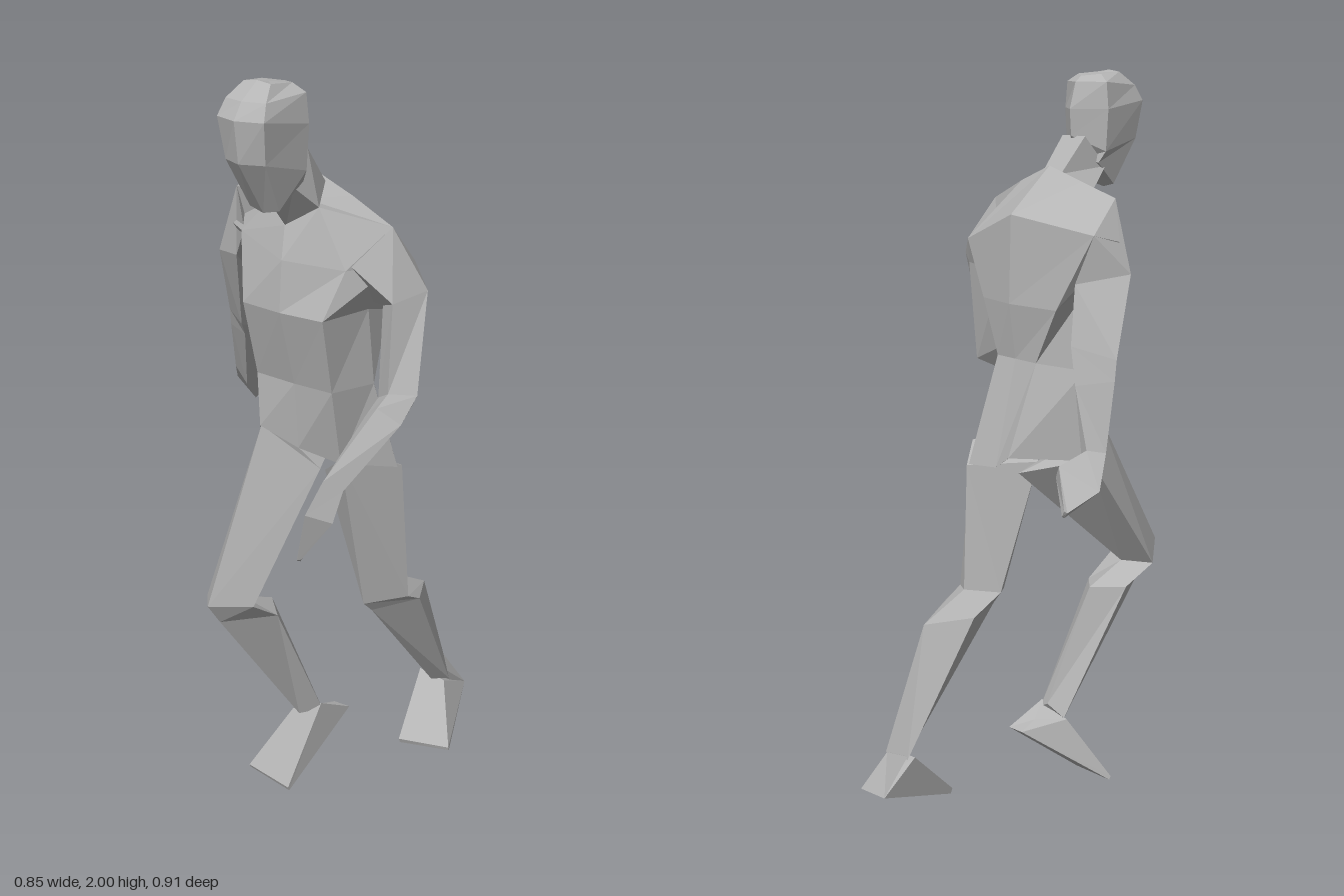
import * as THREE from 'three';

const skin = new THREE.MeshStandardMaterial({ color: 0xb4b4b4, flatShading: true });
skin.name = 'plain grey';

// Closed faceted body through a list of cross-sections with equal point counts.
function loft(name, rings) {
  const tris = [];
  const n = rings[0].length;
  const centre = (ring) => [0, 1, 2].map((k) => ring.reduce((s, p) => s + p[k], 0) / n);
  for (let r = 0; r < rings.length - 1; r++) {
    for (let i = 0; i < n; i++) {
      const j = (i + 1) % n;
      const a = rings[r][i], b = rings[r][j], c = rings[r + 1][j], d = rings[r + 1][i];
      tris.push([a, b, c], [a, c, d]);
    }
  }
  const first = rings[0], last = rings[rings.length - 1];
  for (let i = 0; i < n; i++) {
    const j = (i + 1) % n;
    tris.push([first[j], first[i], centre(first)], [last[i], last[j], centre(last)]);
  }
  // Turn the faces outward whichever way the sections run
  let volume = 0;
  const o = new THREE.Vector3(...centre(first));
  const corner = (p) => new THREE.Vector3(...p).sub(o);
  for (const [a, b, c] of tris) volume += corner(a).dot(corner(b).cross(corner(c)));
  const out = volume < 0 ? tris.map(([a, b, c]) => [a, c, b]) : tris;
  const geo = new THREE.BufferGeometry();
  geo.setAttribute('position', new THREE.Float32BufferAttribute(out.flat(2), 3));
  geo.computeVertexNormals();
  const mesh = new THREE.Mesh(geo, skin);
  mesh.name = name;
  return mesh;
}

// Symmetric head section: front [y,z], front side [w,y,z], back side [w,y,z], back [y,z]
function headRing(f, fs, bs, b) {
  const x = 0.085;
  return [
    [x, ...f], [x + fs[0], fs[1], fs[2]], [x + bs[0], bs[1], bs[2]],
    [x, ...b], [x - bs[0], bs[1], bs[2]], [x - fs[0], fs[1], fs[2]],
  ];
}

export function createModel() {
  const figure = new THREE.Group();
  figure.name = 'walkingFigure';

  // Torso: hips, waist, lower chest, upper chest, shoulder tops
  figure.add(loft('torso', [
    [[-0.025, 1.09, 0.21], [0.085, 1.05, 0.19], [0.19, 1.02, 0.15], [0.275, 0.99, 0.02],
      [0.19, 0.95, -0.08], [0.085, 0.96, -0.07], [0.02, 1.0, -0.08], [-0.11, 0.99, 0.09]],
    [[-0.04, 1.23, 0.2], [0.085, 1.23, 0.205], [0.2, 1.23, 0.2], [0.24, 1.23, 0.08],
      [0.16, 1.25, 0], [0.085, 1.25, 0], [0, 1.25, 0], [-0.106, 1.235, 0.08]],
    [[-0.04, 1.43, 0.25], [0.085, 1.43, 0.26], [0.21, 1.43, 0.25], [0.235, 1.43, 0.1],
      [0.22, 1.4, 0], [0.086, 1.4, -0.02], [-0.08, 1.4, 0], [-0.12, 1.48, 0.1]],
    [[-0.085, 1.595, 0.2], [0.085, 1.56, 0.25], [0.24, 1.55, 0.2], [0.32, 1.56, 0.11],
      [0.313, 1.55, 0.02], [0.086, 1.635, -0.013], [-0.19, 1.6, 0.03], [-0.2, 1.58, 0.11]],
    [[0, 1.68, 0.19], [0.075, 1.64, 0.225], [0.156, 1.69, 0.195], [0.32, 1.655, 0.123],
      [0.2, 1.71, 0.12], [0.086, 1.755, 0.12], [-0.03, 1.72, 0.13], [-0.153, 1.685, 0.137]],
  ]));

  // Neck leaning forward
  figure.add(loft('neck', [
    [[0, 1.68, 0.19], [0.075, 1.635, 0.22], [0.156, 1.69, 0.195], [0.12, 1.735, 0.125], [0.045, 1.735, 0.125]],
    [[0.03, 1.75, 0.27], [0.085, 1.71, 0.29], [0.14, 1.75, 0.27], [0.13, 1.83, 0.205], [0.04, 1.83, 0.205]],
  ]));

  // Head: chin, mouth, brow, forehead, crown
  figure.add(loft('head', [
    headRing([1.69, 0.315], [0.045, 1.7, 0.31], [0.06, 1.76, 0.24], [1.77, 0.235]),
    headRing([1.82, 0.4], [0.06, 1.82, 0.375], [0.078, 1.79, 0.25], [1.83, 0.195]),
    headRing([1.92, 0.412], [0.07, 1.92, 0.39], [0.086, 1.9, 0.25], [1.9, 0.19]),
    headRing([1.96, 0.385], [0.06, 1.96, 0.37], [0.078, 1.97, 0.25], [1.97, 0.21]),
    headRing([2.0, 0.33], [0.04, 1.995, 0.33], [0.045, 1.99, 0.26], [1.985, 0.23]),
  ]));

  // Legs: hip, knee, calf, ankle (front, outer, back, inner)
  figure.add(loft('rightLeg', [
    [[-0.025, 1.09, 0.205], [-0.11, 0.99, 0.1], [0, 0.96, -0.06], [0.085, 0.96, 0.1]],
    [[0, 0.675, 0.455], [-0.088, 0.64, 0.36], [-0.01, 0.64, 0.31], [0.063, 0.65, 0.35]],
    [[0, 0.61, 0.41], [-0.085, 0.59, 0.26], [-0.01, 0.585, 0.19], [0.06, 0.58, 0.25]],
    [[0.03, 0.2, 0.125], [-0.005, 0.21, 0.1], [0.05, 0.24, 0.085], [0.085, 0.22, 0.09]],
  ]));
  figure.add(loft('leftLeg', [
    [[0.19, 1.03, 0.15], [0.275, 0.99, 0], [0.2, 0.945, -0.08], [0.085, 0.95, 0.08]],
    [[0.185, 0.565, 0.037], [0.265, 0.575, -0.058], [0.18, 0.595, -0.11], [0.116, 0.585, -0.03]],
    [[0.185, 0.53, 0], [0.26, 0.54, -0.12], [0.19, 0.52, -0.243], [0.122, 0.53, -0.12]],
    [[0.18, 0.16, -0.31], [0.22, 0.16, -0.345], [0.16, 0.2, -0.4], [0.13, 0.17, -0.35]],
  ]));

  // Feet: ankle and heel tapering to a wide toe edge
  figure.add(loft('rightFoot', [
    [[0, 0.2, 0.115], [0.085, 0.24, 0.095], [0.1, 0.18, -0.015], [0.05, 0.18, -0.01]],
    [[-0.085, 0.025, 0.21], [0.063, 0.015, 0.217], [0.063, 0.003, 0.212], [-0.085, 0.015, 0.205]],
  ]));
  figure.add(loft('leftFoot', [
    [[0.215, 0.16, -0.325], [0.13, 0.17, -0.325], [0.115, 0.09, -0.44], [0.205, 0.09, -0.455]],
    [[0.313, 0.025, -0.212], [0.165, 0.015, -0.172], [0.165, 0, -0.178], [0.313, 0.015, -0.215]],
  ]));
  // Heel tendon closing the raised left ankle
  figure.add(loft('leftHeel', [
    [[0.13, 0.18, -0.35], [0.205, 0.18, -0.35], [0.155, 0.2, -0.4]],
    [[0.115, 0.09, -0.44], [0.2, 0.09, -0.4], [0.205, 0.09, -0.455]],
  ]));

  // Arms with hands: shoulder, upper arm, elbow, forearm, wrist, palm, fingertips
  figure.add(loft('rightArm', [
    [[-0.153, 1.685, 0.137], [-0.085, 1.595, 0.19], [-0.12, 1.48, 0.08], [-0.19, 1.6, 0.03]],
    [[-0.232, 1.5, 0.12], [-0.165, 1.5, 0.13], [-0.137, 1.47, 0.05], [-0.17, 1.48, -0.015]],
    [[-0.29, 1.3, 0.02], [-0.24, 1.27, 0.03], [-0.2, 1.34, -0.05], [-0.235, 1.34, -0.085]],
    [[-0.305, 1.25, 0], [-0.255, 1.23, 0], [-0.235, 1.24, -0.07], [-0.28, 1.25, -0.11]],
    [[-0.362, 1.09, -0.08], [-0.33, 1.04, -0.09], [-0.307, 1.08, -0.112], [-0.34, 1.1, -0.125]],
    [[-0.427, 1.02, -0.16], [-0.35, 0.975, -0.15], [-0.312, 1.04, -0.2], [-0.34, 1.075, -0.215]],
    [[-0.412, 0.98, -0.25], [-0.4, 0.965, -0.25], [-0.4, 0.97, -0.257], [-0.408, 0.985, -0.257]],
  ]));
  figure.add(loft('leftArm', [
    [[0.32, 1.655, 0.123], [0.25, 1.56, 0.19], [0.25, 1.45, 0.1], [0.313, 1.55, 0.02]],
    [[0.388, 1.5, 0.07], [0.35, 1.48, 0.16], [0.3, 1.46, 0.13], [0.34, 1.48, 0.045]],
    [[0.424, 1.265, 0.155], [0.37, 1.27, 0.2], [0.32, 1.24, 0.17], [0.36, 1.2, 0.085]],
    [[0.41, 1.2, 0.2], [0.36, 1.24, 0.23], [0.31, 1.2, 0.21], [0.36, 1.16, 0.17]],
    [[0.36, 1.07, 0.36], [0.33, 1.1, 0.4], [0.285, 1.06, 0.35], [0.32, 1.05, 0.33]],
    [[0.36, 1.0, 0.4], [0.32, 1.03, 0.455], [0.255, 0.94, 0.385], [0.31, 0.98, 0.335]],
    [[0.296, 0.9, 0.44], [0.29, 0.9, 0.447], [0.282, 0.893, 0.44], [0.288, 0.89, 0.433]],
  ]));

  return figure;
}
